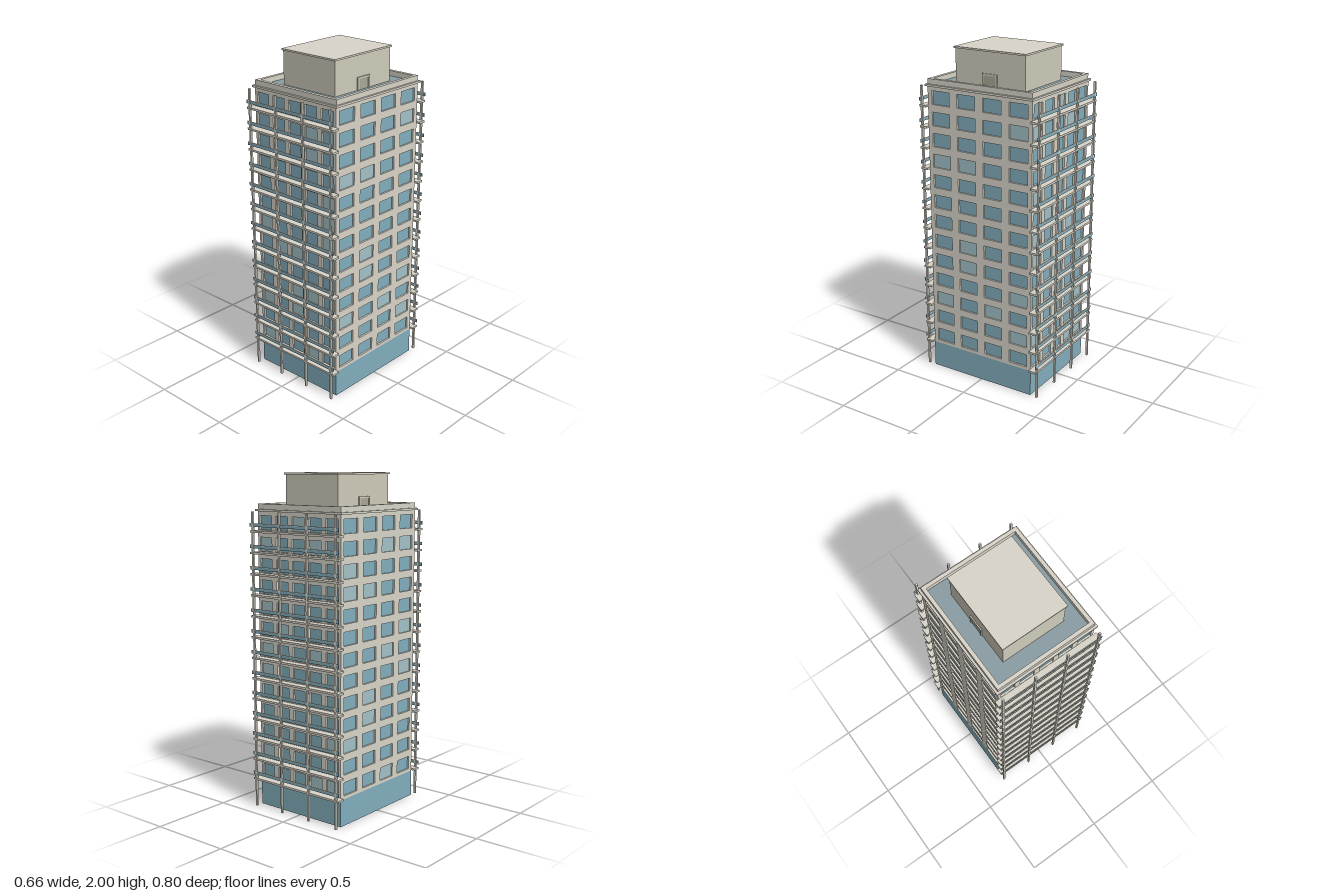
import * as THREE from 'three';

const mat = (color) => new THREE.MeshStandardMaterial({ color });
const wallMat = mat(0xd9d5c9), houseMat = mat(0xcfccbb), glassMat = mat(0x83afbe);
const paleMat = mat(0xa3c2c8), roofMat = mat(0x8a9ea4), doorMat = mat(0xa9a797);

const HX = 0.31, HZ = 0.35;          // half width and half depth of the tower
const BASE = 0.16, TOP = 1.78;       // facade bottom and top
const FLOORS = 13, STEP = 0.1247;
const RECESS = 0.011;

function box(parent, name, w, h, d, x, y, z, material) {
  const m = new THREE.Mesh(new THREE.BoxGeometry(w, h, d), material);
  m.name = name;
  m.position.set(x, y, z);
  parent.add(m);
  return m;
}

function rectPath(target, x0, y0, x1, y1) {
  target.moveTo(x0, y0);
  target.lineTo(x1, y0);
  target.lineTo(x1, y1);
  target.lineTo(x0, y1);
  target.closePath();
  return target;
}

// Rectangular ring lying flat, from y0 up to y0 + h
function ring(parent, name, ox, oz, ix, iz, y0, h, material) {
  const s = rectPath(new THREE.Shape(), -ox, -oz, ox, oz);
  s.holes.push(rectPath(new THREE.Path(), -ix, -iz, ix, iz));
  const g = new THREE.ExtrudeGeometry(s, { depth: h, bevelEnabled: false });
  g.rotateX(-Math.PI / 2);
  const m = new THREE.Mesh(g, material);
  m.name = name;
  m.position.y = y0;
  parent.add(m);
}

// Small seeded generator that picks the pale windows
let seed = 11;
function rand() {
  seed = (seed * 16807) % 2147483647;
  return seed / 2147483647;
}

// Wall grid with window openings, facing +z with its outer face at z = 0
function facade(name, half, cols, pitch, winW) {
  const g = new THREE.Group();
  g.name = name;
  const s = rectPath(new THREE.Shape(), -half, BASE, half, TOP);
  for (let r = 0; r < FLOORS; r++) {
    for (let c = 0; c < cols; c++) {
      const x = (c - (cols - 1) / 2) * pitch, y = 0.219 + r * STEP;
      s.holes.push(rectPath(new THREE.Path(), x - winW / 2, y - 0.04, x + winW / 2, y + 0.04));
      if (rand() < 0.22) box(g, 'paleWindow', winW, 0.08, 0.002, x, y, -RECESS + 0.001, paleMat);
    }
  }
  const wall = new THREE.Mesh(
    new THREE.ExtrudeGeometry(s, { depth: RECESS, bevelEnabled: false }), wallMat);
  wall.name = 'wallGrid';
  wall.position.z = -RECESS;
  g.add(wall);
  return g;
}

// Balcony slabs, glazed rails and posts along one face, facing +z
function balconies(name) {
  const g = new THREE.Group();
  g.name = name;
  for (let r = 0; r < FLOORS; r++) {
    const y = 0.168 + r * STEP;
    box(g, 'balconySlab', 0.664, 0.012, 0.047, 0, y, HZ + 0.0235, wallMat);
    box(g, 'balconyRail', 0.664, 0.016, 0.004, 0, y + 0.036, 0.396, glassMat);
    box(g, 'handrail', 0.664, 0.004, 0.005, 0, y + 0.046, 0.396, wallMat);
  }
  for (const x of [-0.31, -0.104, 0.104, 0.31])
    box(g, 'balconyPost', 0.012, TOP, 0.012, x, TOP / 2, 0.394, wallMat);
  return g;
}

export function createModel() {
  const model = new THREE.Group();
  model.name = 'tower';

  // Glazed ground floor: glass outside, plain lining inside, open underneath
  ring(model, 'groundFloorGlass', HX, HZ, HX - 0.004, HZ - 0.004, 0, BASE, glassMat);
  ring(model, 'groundFloorLining', HX - 0.004, HZ - 0.004, HX - 0.008, HZ - 0.008, 0, BASE, wallMat);

  // Glass core behind the window openings
  box(model, 'glassCore', 2 * (HX - RECESS), TOP - BASE + 0.008, 2 * (HZ - RECESS),
    0, (TOP + BASE) / 2 - 0.004, 0, glassMat);

  // Four facades, with balconies on front and back
  for (const side of [1, -1]) {
    const turn = side > 0 ? 0 : Math.PI;
    const face = facade(side > 0 ? 'frontFacade' : 'backFacade', HX, 5, 0.124, 0.09);
    face.position.z = side * HZ;
    face.rotation.y = turn;
    const flank = facade(side > 0 ? 'leftFacade' : 'rightFacade', HZ - RECESS, 4, 0.174, 0.122);
    flank.position.x = side * HX;
    flank.rotation.y = side * Math.PI / 2;
    const rows = balconies(side > 0 ? 'frontBalconies' : 'backBalconies');
    rows.rotation.y = turn;
    model.add(face, flank, rows);
  }

  // Cornice, parapet and roof deck
  ring(model, 'cornice', 0.323, 0.361, 0.288, 0.326, TOP, 0.012, wallMat);
  ring(model, 'parapet', 0.31, 0.348, 0.288, 0.326, TOP + 0.012, 0.031, wallMat);
  box(model, 'roofDeck', 0.578, 0.012, 0.654, 0, TOP + 0.006, 0, roofMat);

  // Rooftop house with a thin cap and a framed door on each flank
  const house = new THREE.Group();
  house.name = 'rooftopHouse';
  box(house, 'houseWalls', 0.39, 0.204, 0.466, 0, 1.888, 0, houseMat);
  box(house, 'houseCap', 0.404, 0.01, 0.482, 0, 1.995, 0, wallMat);
  for (const side of [1, -1]) {
    box(house, 'doorLeaf', 0.004, 0.066, 0.08, side * 0.196, 1.825, 0, doorMat);
    box(house, 'doorHead', 0.008, 0.01, 0.1, side * 0.198, 1.861, 0, houseMat);
    for (const z of [-0.045, 0.045])
      box(house, 'doorJamb', 0.008, 0.066, 0.01, side * 0.198, 1.825, z, houseMat);
  }
  model.add(house);

  return model;
}
